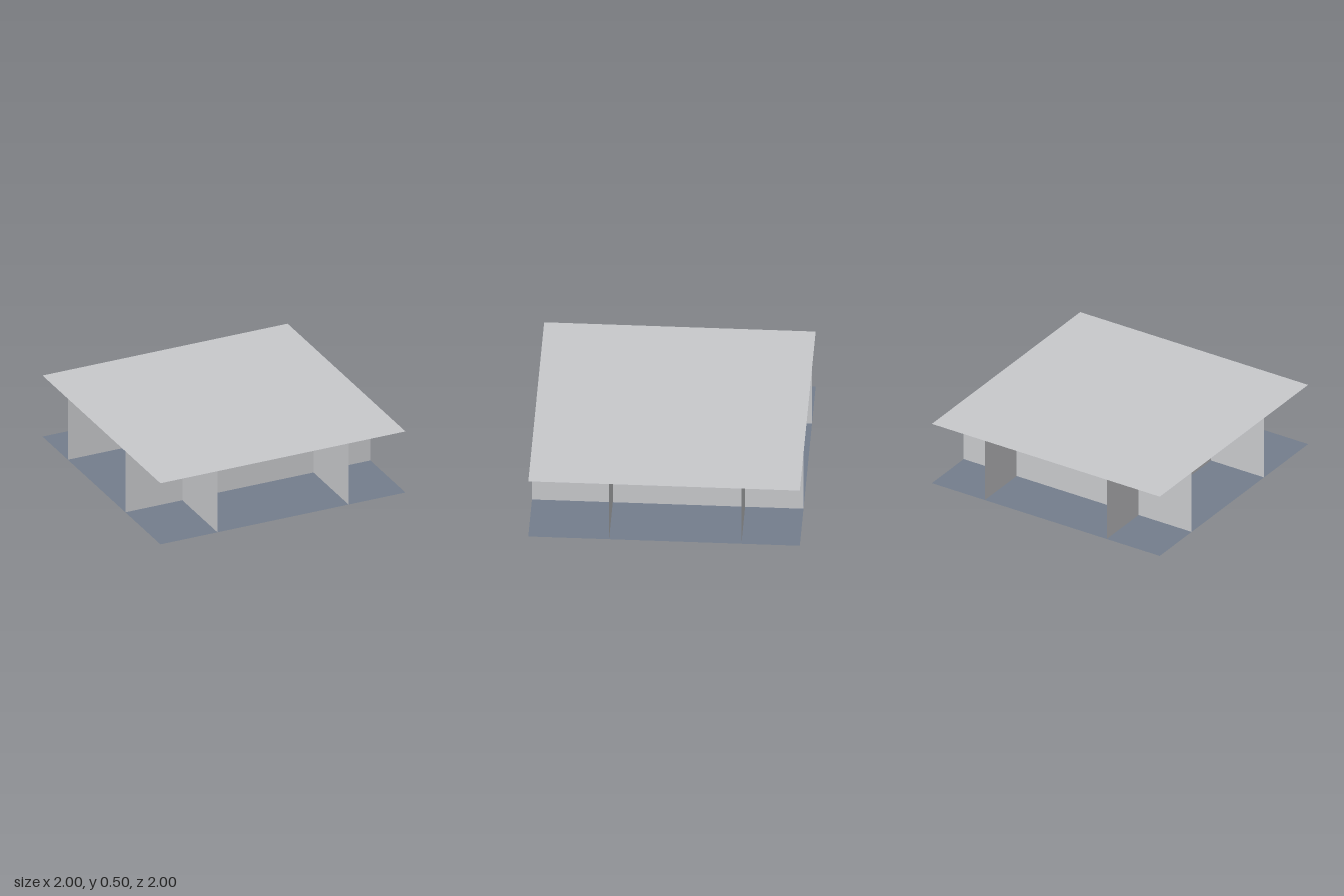
import * as THREE from 'three';

const HEIGHT = 0.5;

const material = (name, color) =>
  Object.assign(new THREE.MeshStandardMaterial({ color, side: THREE.DoubleSide }), { name });

export function createModel() {
  const group = new THREE.Group();
  group.name = 'pavilion';
  const grey = material('pale grey', 0xc8c9cc);
  const slate = material('slate blue', 0x747e8d);

  const add = (name, geometry, mat, x, y, z) => {
    const mesh = new THREE.Mesh(geometry, mat);
    mesh.name = name;
    mesh.position.set(x, y, z);
    group.add(mesh);
    return mesh;
  };

  // Floor and roof: thin square sheets
  const slab = new THREE.PlaneGeometry(2, 2).rotateX(-Math.PI / 2);
  add('floor', slab, slate, 0, 0, 0);
  add('roof', slab, grey, 0, HEIGHT, 0);

  // Four crossing walls, each running from edge to edge
  const wall = new THREE.PlaneGeometry(2, HEIGHT);
  add('frontWall', wall, grey, 0, HEIGHT / 2, 0.405);
  add('backWall', wall, grey, 0, HEIGHT / 2, -0.57).rotation.y = Math.PI;
  for (const [name, side] of [['leftWall', 1], ['rightWall', -1]]) {
    add(name, wall, grey, side * 0.535, HEIGHT / 2, 0).rotation.y = (side * Math.PI) / 2;
  }

  // Small studs showing under the floor
  for (const [x, z, radius] of [[0.42, -0.49, 0.012], [-0.49, -0.47, 0.03]]) {
    add('floorStud', new THREE.CylinderGeometry(radius, radius, 0.004, 12), grey, x, 0, z);
  }

  return group;
}
